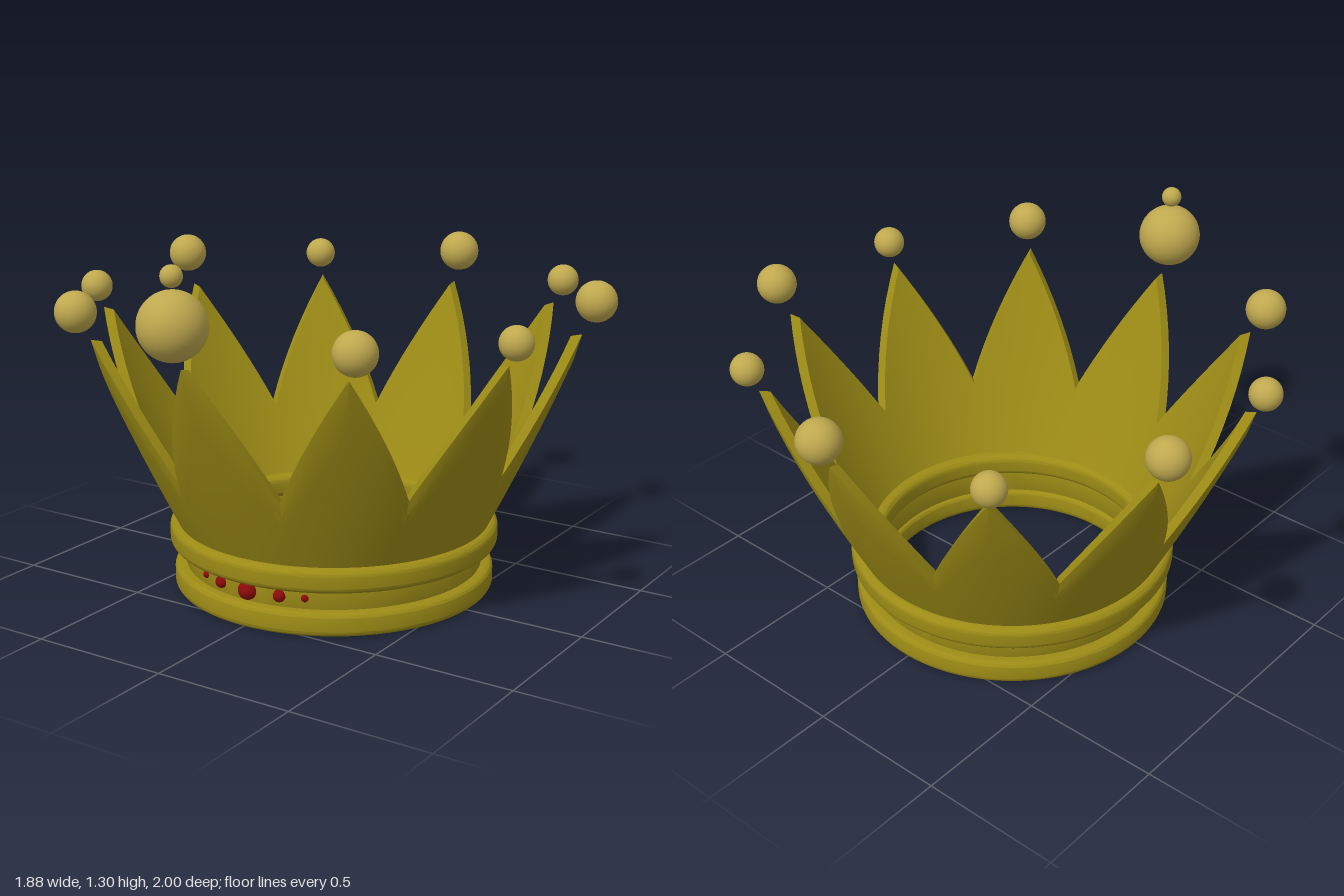
import * as THREE from 'three';
import { toCreasedNormals } from 'three/addons/utils/BufferGeometryUtils.js';

const gold = new THREE.MeshStandardMaterial({ color: 0x9c8b16 });
const paleGold = new THREE.MeshStandardMaterial({ color: 0xbfa84e });
const red = new THREE.MeshStandardMaterial({ color: 0x8b0a0a });

const POINTS = 10, STEPS = 8; // STEPS = columns per half point
const lerp = THREE.MathUtils.lerp;

function add(parent, name, geometry, material, x = 0, y = 0, z = 0) {
  const mesh = new THREE.Mesh(geometry, material);
  mesh.name = name;
  mesh.position.set(x, y, z);
  parent.add(mesh);
  return mesh;
}

// Ring with a rounded rectangular cross-section
function ringGeometry(inner, outer, y0, y1, r) {
  const s = new THREE.Shape();
  s.absarc(outer - r, y0 + r, r, -Math.PI / 2, 0);
  s.absarc(outer - r, y1 - r, r, 0, Math.PI / 2);
  s.absarc(inner + r, y1 - r, r, Math.PI / 2, Math.PI);
  s.absarc(inner + r, y0 + r, r, Math.PI, Math.PI * 1.5);
  s.closePath();
  return toCreasedNormals(new THREE.LatheGeometry(s.getPoints(6), 96), 0.6);
}

// Flaring wall: one closed cross-section per column, its top following a zigzag
function wallGeometry() {
  const radius = (y) => 0.565 + 0.5 * (y - 0.25) - 0.08 * (y - 0.25) ** 2;
  const thick = 0.045, bottom = 0.2, rows = 5;
  const columns = POINTS * 2 * STEPS;
  const position = [], index = [];
  let n = 0;
  for (let i = 0; i < columns; i++) {
    const angle = (i / columns) * Math.PI * 2;
    const phase = (i % (2 * STEPS)) / STEPS;
    const t = Math.abs(1 - phase); // 1 at a tip, 0 in a valley
    const top = lerp(0.5, 0.96, t);
    const outerTop = top - lerp(0.06, 0.09, t);
    const section = [];
    for (let k = 0; k <= rows; k++) {
      const y = lerp(bottom, outerTop, k / rows);
      section.push([radius(y), y]);
    }
    section.push([radius(top) - 0.01, top]); // bevel along the rim
    for (let k = rows; k >= 0; k--) {
      const y = lerp(bottom, top - 0.008, k / rows);
      section.push([radius(y) - thick, y]);
    }
    n = section.length;
    for (const [r, y] of section) position.push(r * Math.sin(angle), y, r * Math.cos(angle));
  }
  for (let i = 0; i < columns; i++) {
    const a = i * n, b = ((i + 1) % columns) * n;
    for (let k = 0; k < n; k++) {
      const m = (k + 1) % n;
      index.push(a + k, b + k, b + m, a + k, b + m, a + m);
    }
  }
  const g = new THREE.BufferGeometry();
  g.setAttribute('position', new THREE.Float32BufferAttribute(position, 3));
  g.setIndex(index);
  return toCreasedNormals(g, 0.35);
}

export function createModel() {
  const model = new THREE.Group();
  model.name = 'crown';

  const body = new THREE.Group();
  body.name = 'crownBody';
  body.position.z = -0.02;
  model.add(body);

  // Base: two rounded bands around a recessed core, with the pointed wall above
  add(body, 'lowerBand', ringGeometry(0.47, 0.577, 0, 0.085, 0.022), gold);
  add(body, 'core', ringGeometry(0.485, 0.535, 0.04, 0.21, 0.004), gold);
  add(body, 'upperBand', ringGeometry(0.475, 0.592, 0.158, 0.245, 0.026), gold);
  add(body, 'pointedWall', wallGeometry(), gold);

  // Gems on the front of the core
  for (const [x, r] of [[0, 0.034], [0.12, 0.022], [0.205, 0.013]]) {
    for (const side of x ? [1, -1] : [1]) {
      add(body, 'gem', new THREE.SphereGeometry(r, 24, 16), red,
        side * x, 0.123, Math.sqrt(0.535 ** 2 - x * x));
    }
  }

  // Floating balls above the points: x, y, z, radius
  const balls = [
    [0, 1.105, 0.885, 0.113], [0, 1.26, 0.885, 0.036],
    [0.55, 1.055, 0.71, 0.071], [0.853, 1.037, 0.253, 0.057],
    [0.868, 1.075, -0.305, 0.071], [0.536, 1.043, -0.745, 0.057],
    [0, 1.075, -0.925, 0.075],
  ];
  for (const [x, y, z, r] of balls) {
    for (const side of x ? [1, -1] : [1]) {
      add(model, 'ball', new THREE.SphereGeometry(r, 32, 24), paleGold, side * x, y, z);
    }
  }
  return model;
}
